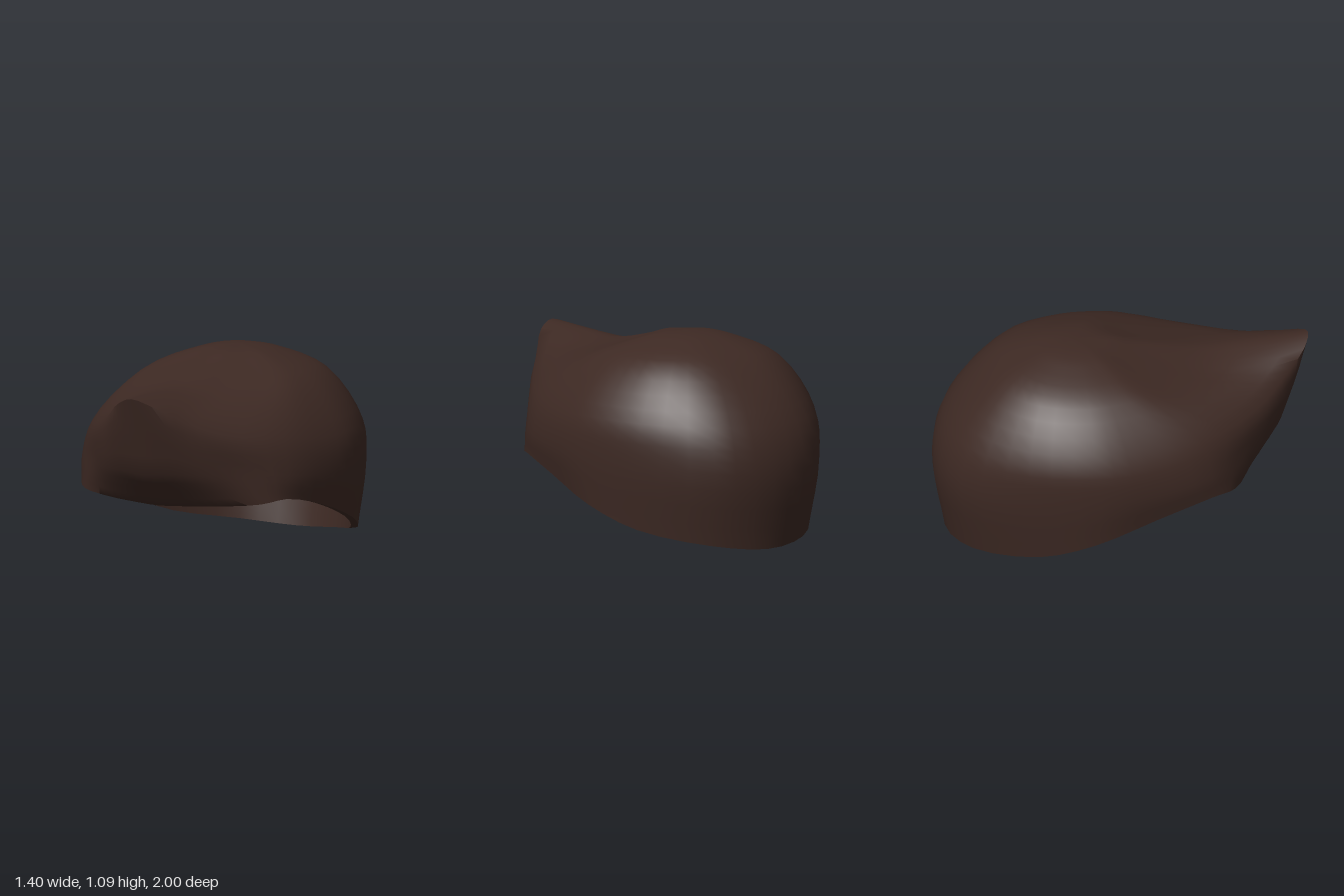
import * as THREE from 'three';
import { toCreasedNormals } from 'three/addons/utils/BufferGeometryUtils.js';

const V = (x, y, z) => new THREE.Vector3(x, y, z);
const CROWN_TOP = V(0, 1.085, -0.25);
const HEAD_CENTRE = V(0, 0.4, -0.1);
const AROUND = 54, PER_SPAN = 4, THICKNESS = 0.055;

// Half rings from the front centre over the left side to the back centre.
const crown = [[0, 0.96, 0.48], [0.08, 0.95, 0.47], [0.21, 0.93, 0.39], [0.34, 0.935, 0.22], [0.43, 0.945, 0.07],
  [0.465, 0.945, -0.08], [0.475, 0.94, -0.25], [0.4, 0.94, -0.5], [0.22, 0.94, -0.66], [0, 0.94, -0.69]];
const ridge = [[0, 0.99, 1], [0.1, 0.95, 0.96], [0.23, 0.85, 0.82], [0.36, 0.775, 0.67], [0.57, 0.72, 0.34],
  [0.655, 0.68, 0.03], [0.665, 0.68, -0.25], [0.56, 0.67, -0.58], [0.31, 0.66, -0.86], [0, 0.65, -0.94]];
const flank = [[0, 0.56, 0.86], [0.15, 0.57, 0.83], [0.3, 0.56, 0.74], [0.45, 0.56, 0.585], [0.61, 0.53, 0.38],
  [0.685, 0.49, 0.06], [0.695, 0.48, -0.22], [0.585, 0.45, -0.57], [0.32, 0.42, -0.91], [0, 0.4, -1]];
const rim = [[0, 0.37, 0.69], [0.16, 0.375, 0.67], [0.33, 0.38, 0.62], [0.52, 0.39, 0.52], [0.605, 0.405, 0.39],
  [0.66, 0.33, 0.08], [0.665, 0.21, -0.25], [0.555, 0.1, -0.53], [0.3, 0.03, -0.84], [0, 0, -0.94]];

// Mirrors a half ring into a closed smooth loop.
function ringCurve(half) {
  const left = half.map((p) => V(...p));
  const right = left.slice(1, -1).reverse().map((p) => V(-p.x, p.y, p.z));
  return new THREE.CatmullRomCurve3([...left, ...right], true);
}

// One strand line: crown to rim on the outside, then back up the inside.
function strand(rings, t) {
  const [c, ...lower] = rings.map((r) => r.getPoint(t));
  const front = Math.max(0, Math.cos(t * Math.PI * 2));
  const domeStep = (s, drop) => CROWN_TOP.clone().lerp(c, s).setY(THREE.MathUtils.lerp(CROWN_TOP.y, c.y, drop));
  const knots = [CROWN_TOP, domeStep(0.25, 0.06 + 0.04 * front), domeStep(0.5, 0.25 + 0.23 * front), c, ...lower];
  const curve = new THREE.CatmullRomCurve3(knots);
  const crispness = front ** 4;
  const outer = curve.getPoints(PER_SPAN * (knots.length - 1)).map((p, k) => {
    // The quiff keeps straight lines and a sharp tip from the crown down
    const span = Math.floor(k / PER_SPAN);
    if (span < 3 || span >= knots.length - 1) return p;
    return p.lerp(knots[span].clone().lerp(knots[span + 1], (k % PER_SPAN) / PER_SPAN), crispness);
  });
  // The lining meets the outside in a level rim
  const inner = outer.map((p, k) => {
    const aboveRim = Math.min(1, (outer.length - 1 - k) / PER_SPAN);
    const q = p.clone().lerp(HEAD_CENTRE, THICKNESS);
    return q.setY(THREE.MathUtils.lerp(p.y, q.y, aboveRim));
  });
  return [...outer, ...inner.reverse()];
}

function hairGeometry() {
  const rings = [crown, ridge, flank, rim].map(ringCurve);
  const positions = [], index = [];
  let rows = 0;
  for (let i = 0; i < AROUND; i++) {
    const line = strand(rings, i / AROUND);
    rows = line.length;
    line.forEach((p) => positions.push(p.x, p.y, p.z));
  }
  for (let i = 0; i < AROUND; i++) {
    const a = i * rows, b = ((i + 1) % AROUND) * rows;
    for (let j = 0; j < rows - 1; j++) {
      if (j < rows - 2) index.push(a + j, a + j + 1, b + j + 1);
      if (j > 0) index.push(a + j, b + j + 1, b + j);
    }
  }
  const geometry = new THREE.BufferGeometry();
  geometry.setAttribute('position', new THREE.Float32BufferAttribute(positions, 3));
  geometry.setIndex(index);
  return toCreasedNormals(geometry, 1.2);
}

export function createModel() {
  const group = new THREE.Group();
  group.name = 'hair';
  // Hollow cap of hair with a pointed quiff over the brow
  const shell = new THREE.Mesh(hairGeometry(), new THREE.MeshStandardMaterial({ color: 0x3d2923 }));
  shell.name = 'hairShell';
  group.add(shell);
  return group;
}
